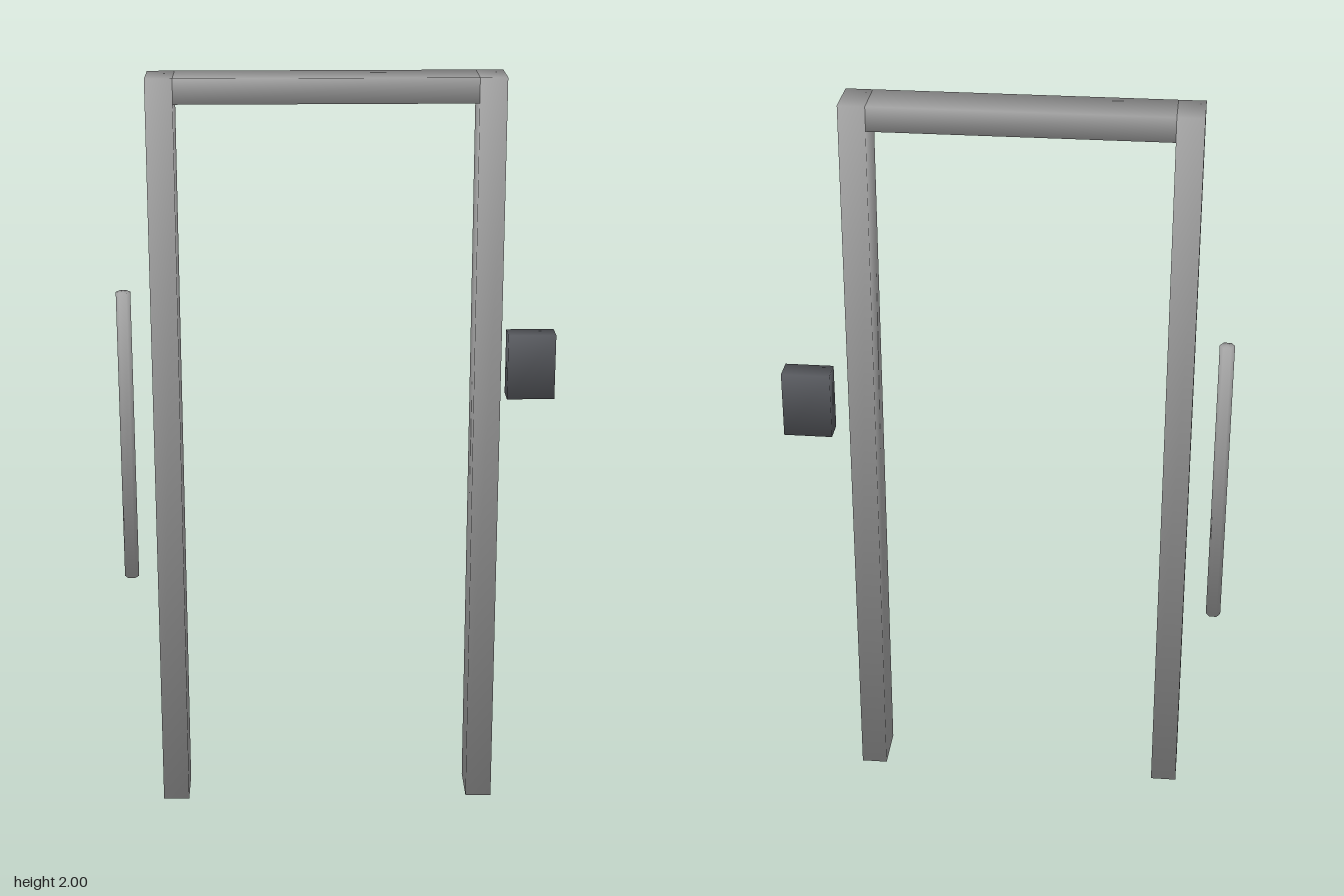
import * as THREE from 'three';

const frameMaterial = new THREE.MeshStandardMaterial({ color: 0xa3a3a3 });
const panelMaterial = new THREE.MeshStandardMaterial({ color: 0x595b60 });

// Point every corner's normal outward equally along the axes, so shading flows across the edges
function soften(geometry) {
  geometry.computeBoundingBox();
  const half = geometry.boundingBox.max;
  const { position, normal } = geometry.attributes;
  const n = new THREE.Vector3();
  for (let i = 0; i < position.count; i++) {
    n.fromBufferAttribute(position, i).divide(half).normalize();
    normal.setXYZ(i, n.x, n.y, n.z);
  }
  return geometry;
}

function part(name, geometry, material, x, y, z) {
  const mesh = new THREE.Mesh(soften(geometry), material);
  mesh.name = name;
  mesh.position.set(x, y, z);
  return mesh;
}

export function createModel() {
  const model = new THREE.Group();
  model.name = 'doorFrame';

  // Frame: two jambs and the header between them
  const centreX = -0.03, centreZ = 0.04;
  const jambWidth = 0.07, depth = 0.13, opening = 0.77, headerHeight = 0.065;
  for (const [name, side] of [['leftJamb', 1], ['rightJamb', -1]]) {
    const x = centreX + side * (opening + jambWidth) / 2;
    model.add(part(name, new THREE.BoxGeometry(jambWidth, 2, depth), frameMaterial, x, 1, centreZ));
  }
  model.add(part('header', new THREE.BoxGeometry(opening, headerHeight, depth),
    frameMaterial, centreX, 2 - headerHeight / 2, centreZ));

  // Six-sided pull bar, with points facing left and right
  const bar = new THREE.CylinderGeometry(0.0195, 0.0195, 0.81, 6).rotateY(Math.PI / 6);
  model.add(part('pullBar', bar, frameMaterial, -0.567, 1.005, -0.065));

  // Dark access panel beside the frame
  model.add(part('accessPanel', new THREE.BoxGeometry(0.128, 0.178, 0.064),
    panelMaterial, 0.522, 1.2, -0.073));

  return model;
}
